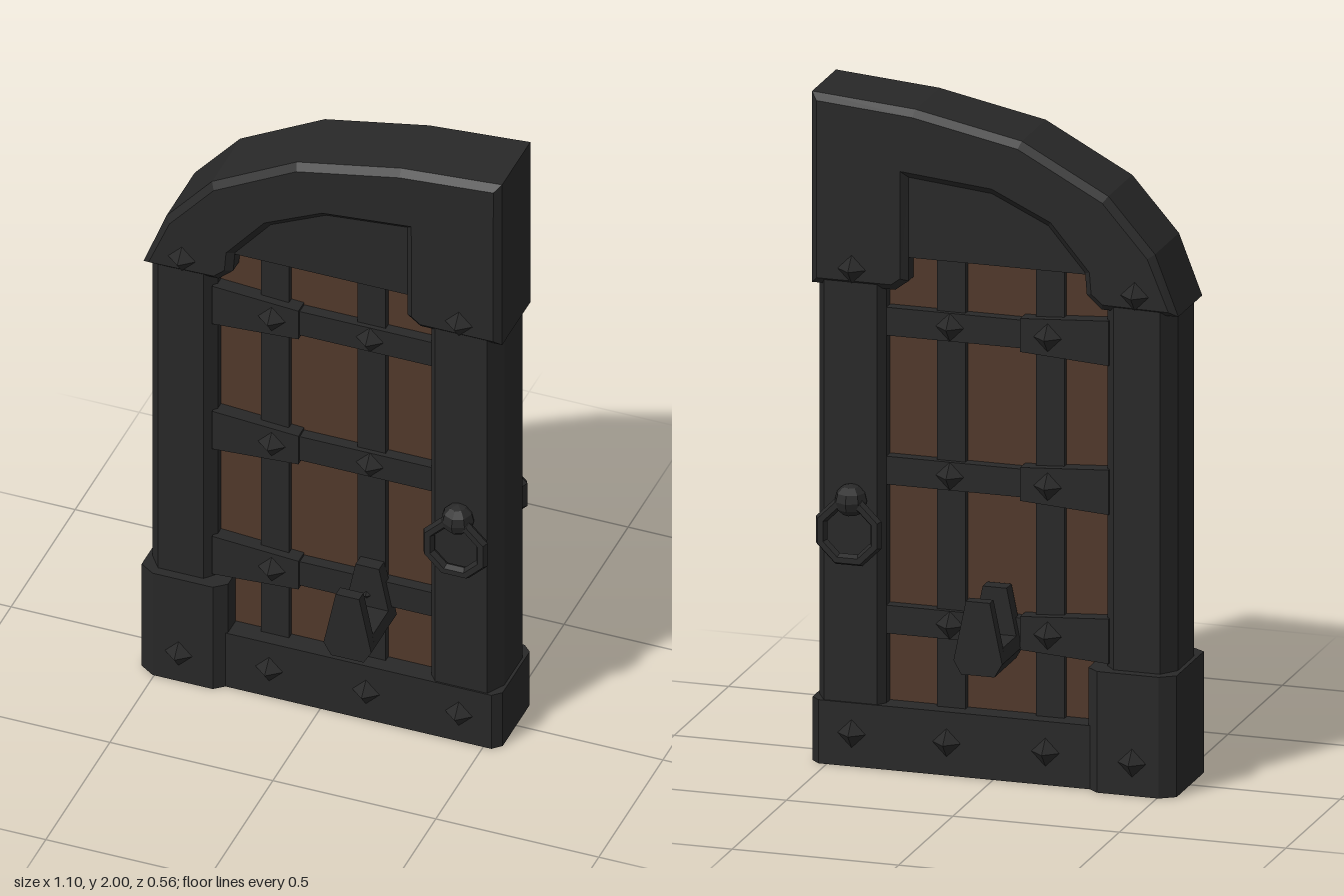
import * as THREE from 'three';

const iron = new THREE.MeshStandardMaterial({ color: 0x282828, flatShading: true });
const ironOpen = new THREE.MeshStandardMaterial({ color: 0x282828, flatShading: true, side: THREE.DoubleSide });
const wood = new THREE.MeshStandardMaterial({ color: 0x50382a, flatShading: true });

const toShape = (pts) => new THREE.Shape(pts.map(([x, y]) => new THREE.Vector2(x, y)));

function add(parent, name, geometry, x = 0, y = 0, z = 0, material = iron) {
  const mesh = new THREE.Mesh(geometry, material);
  mesh.name = name;
  mesh.position.set(x, y, z);
  parent.add(mesh);
  return mesh;
}

// Front outline extruded from z0 to z1, with an optional inward bevel
function slab(pts, z0, z1, bevel = 0) {
  return new THREE.ExtrudeGeometry(toShape(pts), {
    depth: z1 - z0 - 2 * bevel, bevelEnabled: bevel > 0, bevelSize: bevel,
    bevelThickness: bevel, bevelOffset: -bevel, bevelSegments: 1,
  }).translate(0, 0, z0 + bevel);
}

// Upright column: the front half of its plan (x, z) is mirrored to the back
function column(half, y0, y1, openBottom = false) {
  const plan = [...half, ...half.map(([x, z]) => [x, -z]).reverse()];
  let geo = new THREE.ExtrudeGeometry(toShape(plan), { depth: y1 - y0, bevelEnabled: false });
  geo.rotateX(-Math.PI / 2).translate(0, y0, 0);
  if (openBottom) {
    const p = geo.attributes.position, kept = [];
    for (let i = 0; i < p.count; i += 3) {
      if (Math.max(p.getY(i), p.getY(i + 1), p.getY(i + 2)) < y0 + 0.001) continue;
      for (let k = i; k < i + 3; k++) kept.push(p.getX(k), p.getY(k), p.getZ(k));
    }
    geo = new THREE.BufferGeometry();
    geo.setAttribute('position', new THREE.Float32BufferAttribute(kept, 3));
    geo.computeVertexNormals();
  }
  return geo;
}

// U-shaped bar rest: wall plate, shelf and raised lip
function barRest(name) {
  const g = new THREE.Group();
  g.name = name;
  const plate = [[-0.05, 0], [0.05, 0], [0.073, 0.04], [0.036, 0.22], [-0.036, 0.22], [-0.073, 0.04]];
  const shelf = [[-0.05, 0], [0.05, 0], [0.073, 0.04], [0.065, 0.08], [-0.065, 0.08], [-0.073, 0.04]];
  add(g, 'restWallPlate', slab(plate, 0.08, 0.125));
  add(g, 'restShelf', slab(shelf, 0.12, 0.25));
  add(g, 'restLip', slab(plate, 0.245, 0.28));
  return g;
}

export function createModel() {
  const door = new THREE.Group();
  door.name = 'door';

  // Wooden panel with upright iron slats
  add(door, 'woodPanel', new THREE.BoxGeometry(0.68, 1.4, 0.13), 0, 0.87, 0, wood);
  for (const x of [-0.157, 0.14]) {
    add(door, 'uprightSlat', new THREE.BoxGeometry(0.086, 1.4, 0.17), x, 0.87, 0);
  }

  // Horizontal straps with a flared hinge end
  for (const y of [1.33, 0.885, 0.44]) {
    add(door, 'strap', new THREE.BoxGeometry(0.42, 0.084, 0.2), 0.13, y, 0);
    add(door, 'strapHinge',
      slab([[-0.34, -0.067], [-0.075, -0.05], [-0.075, 0.05], [-0.34, 0.067]], -0.11, 0.11), 0, y, 0);
  }

  // Posts with chamfered edges
  add(door, 'hingePost', column(
    [[-0.33, 0.09], [-0.36, 0.125], [-0.5, 0.125], [-0.537, 0.075]].reverse(), 0.15, 1.45));
  add(door, 'latchPost', column(
    [[0.33, 0.1], [0.35, 0.125], [0.51, 0.125], [0.541, 0.07]], 0.15, 1.45));

  // Arched head and the recessed panel beneath it
  add(door, 'archHead', slab([
    [-0.55, 1.43], [-0.32, 1.43], [-0.275, 1.47], [-0.27, 1.535], [-0.16, 1.665], [0.01, 1.745],
    [0.26, 1.77], [0.26, 1.46], [0.3, 1.43], [0.55, 1.43], [0.55, 2], [0.24, 1.975],
    [-0.08, 1.91], [-0.34, 1.77], [-0.48, 1.61],
  ], -0.13, 0.13, 0.02));
  add(door, 'archInfill', slab([
    [-0.29, 1.53], [0.28, 1.53], [0.28, 1.8], [0, 1.78], [-0.18, 1.69],
  ], -0.11, 0.11));

  // Kick plate and corner boot, both hollow underneath
  add(door, 'kickPlate', column(
    [[-0.3, 0.13], [0.525, 0.13], [0.55, 0.105]], 0, 0.19, true), 0, 0, 0, ironOpen);
  add(door, 'cornerBoot', column(
    [[-0.55, 0.125], [-0.505, 0.155], [-0.32, 0.155], [-0.285, 0.125]], 0, 0.362, true), 0, 0, 0, ironOpen);

  // Fittings repeated on both faces
  const studs = [
    [-0.425, 1.485, 0.13], [0.425, 1.485, 0.13],
    [-0.425, 0.098, 0.155], [-0.157, 0.098, 0.13], [0.14, 0.098, 0.13], [0.425, 0.098, 0.13],
  ];
  for (const y of [1.33, 0.885, 0.44]) studs.push([-0.157, y, 0.11], [0.14, y, 0.1]);
  for (const side of [1, -1]) {
    for (const [x, y, z] of studs) {
      add(door, 'stud', new THREE.OctahedronGeometry(0.042), x, y, side * z).scale.z = 0.85;
    }
    add(door, 'ringHandle', new THREE.TorusGeometry(0.088, 0.018, 6, 8), 0.425, 0.707, side * 0.155)
      .rotation.z = Math.PI / 8;
    add(door, 'ringMount', new THREE.SphereGeometry(0.048, 8, 6), 0.425, 0.798, side * 0.135)
      .scale.z = 1.1;
  }

  // Bar rests, one on each face
  const front = barRest('frontBarRest');
  front.position.set(0.142, 0.32, 0);
  const back = barRest('backBarRest');
  back.position.set(-0.003, 0.355, 0);
  back.rotation.y = Math.PI;
  door.add(front, back);

  return door;
}
